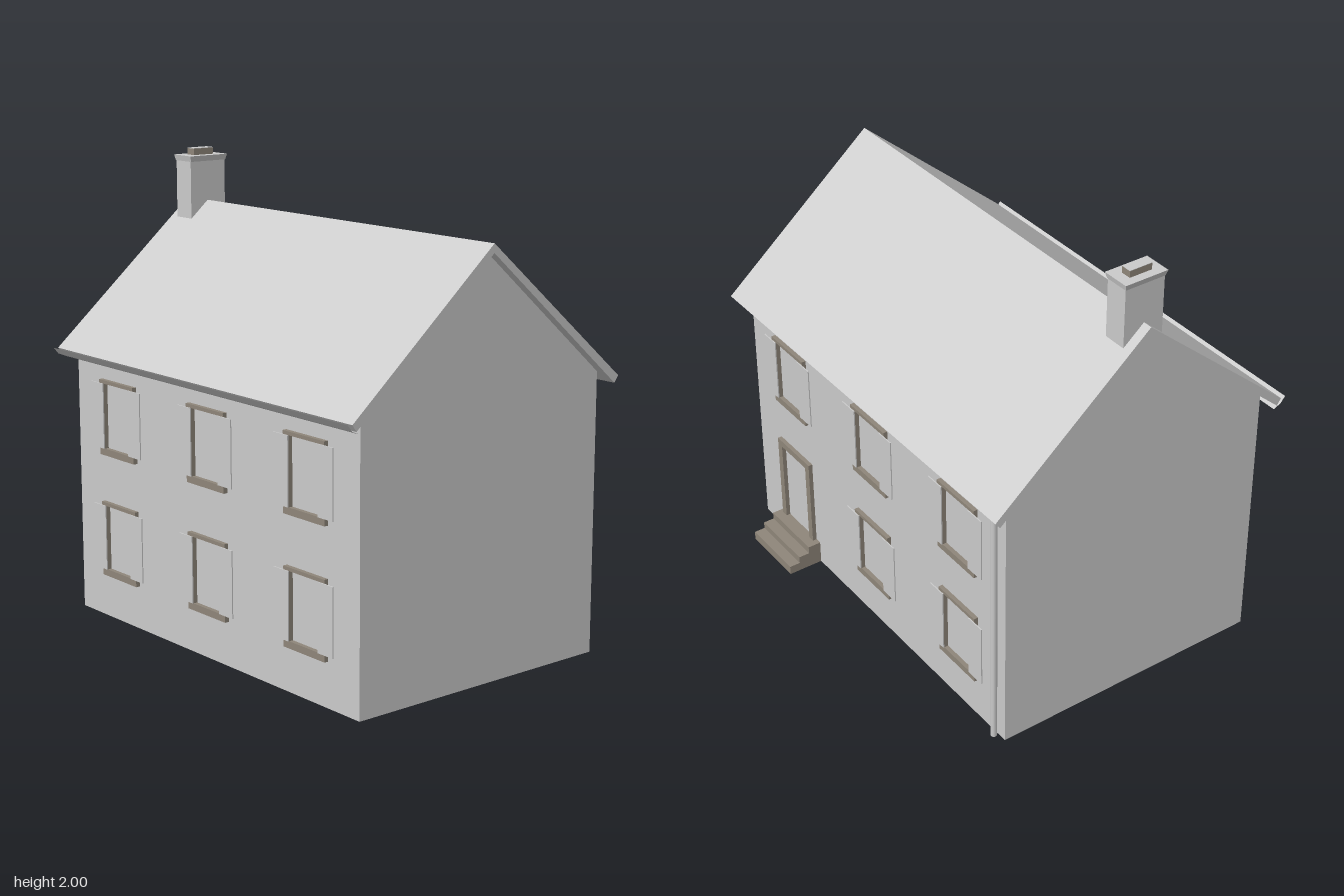
import * as THREE from 'three';

const grey = new THREE.MeshStandardMaterial({ color: 0xcccccc, side: THREE.DoubleSide });
const brown = new THREE.MeshStandardMaterial({ color: 0x8f867a, side: THREE.DoubleSide });

const FRONT = 0.66, BACK = -0.6, RIDGE = 0.03, HALF = 0.94, EAVE = 1.19;

function add(parent, name, geometry, material = grey) {
  const mesh = new THREE.Mesh(geometry, material);
  mesh.name = name;
  parent.add(mesh);
  return mesh;
}

function box(x0, x1, y0, y1, z0, z1) {
  return new THREE.BoxGeometry(x1 - x0, y1 - y0, z1 - z0)
    .translate((x0 + x1) / 2, (y0 + y1) / 2, (z0 + z1) / 2);
}

const shapeOf = (pts) => new THREE.Shape(pts.map(([a, b]) => new THREE.Vector2(a, b)));

// Solid with a [z, y] profile, running from x0 to x1
function prism(profile, x0, x1) {
  return new THREE.ExtrudeGeometry(shapeOf(profile), { depth: x1 - x0, bevelEnabled: false })
    .rotateY(-Math.PI / 2).translate(x1, 0, 0);
}

// Flat panel with a [z, y] outline at the given x
function panel(profile, x) {
  return new THREE.ShapeGeometry(shapeOf(profile)).rotateY(-Math.PI / 2).translate(x, 0, 0);
}

// Open folded sheet with a [z, y] profile, running from x0 to x1
function sheet(profile, x0, x1) {
  const pos = [];
  for (let i = 0; i + 1 < profile.length; i++) {
    const [pz, py] = profile[i], [qz, qy] = profile[i + 1];
    pos.push(x0, py, pz, x1, py, pz, x1, qy, qz, x0, py, pz, x1, qy, qz, x0, qy, qz);
  }
  const g = new THREE.BufferGeometry();
  g.setAttribute('position', new THREE.Float32BufferAttribute(pos, 3));
  g.computeVertexNormals();
  return g;
}

// Rectangular surround that passes through the wall
function frame(w, y0, y1, iw, iy0, iy1) {
  const shape = shapeOf([[-w, y0], [w, y0], [w, y1], [-w, y1]]);
  shape.holes.push(shapeOf([[-iw, iy0], [-iw, iy1], [iw, iy1], [iw, iy0]]));
  return new THREE.ExtrudeGeometry(shape, { depth: 0.024, bevelEnabled: false }).translate(0, 0, -0.005);
}

function makeWindow(x, y) {
  const g = new THREE.Group();
  g.name = 'window';
  add(g, 'windowFrame', frame(0.125, 0, 0.33, 0.09, 0.03, 0.315), brown);
  for (const s of [-1, 1]) {
    add(g, 'shutter', box(-0.045, 0.045, 0.03, 0.315, 0.019, 0.024)).position.x = s * 0.135;
  }
  g.position.set(x, y, 0);
  return g;
}

function makeDoor(x) {
  const g = new THREE.Group();
  g.name = 'door';
  add(g, 'doorFrame', frame(0.13, 0.08, 0.52, 0.098, 0.1, 0.49), brown);
  g.position.x = x;
  return g;
}

export function createModel() {
  const house = new THREE.Group();
  house.name = 'house';

  // Walls, open underneath
  add(house, 'frontWall', sheet([[FRONT, 0], [FRONT, EAVE]], -HALF, HALF));
  add(house, 'backWall', sheet([[BACK, EAVE], [BACK, 0]], -HALF, HALF));
  const gable = [[BACK, 0], [FRONT, 0], [FRONT, EAVE], [RIDGE, 1.735], [BACK, EAVE]];
  for (const s of [-1, 1]) add(house, 'gableWall', panel(gable, s * HALF));

  // Windows and back door
  const front = new THREE.Group();
  front.name = 'frontOpenings';
  front.position.z = FRONT;
  const back = new THREE.Group();
  back.name = 'backOpenings';
  back.position.z = BACK;
  back.rotation.y = Math.PI;
  house.add(front, back);
  for (const x of [-0.63, 0, 0.63]) {
    for (const y of [0.19, 0.73]) {
      front.add(makeWindow(x, y));
      back.add(x < 0 && y < 0.5 ? makeDoor(x) : makeWindow(x, y));
    }
  }

  // Roof slab
  add(house, 'roof', prism([
    [0.735, 1.17], [RIDGE, 1.772], [-0.68, 1.17],
    [-0.658, 1.142], [RIDGE, 1.735], [0.715, 1.142],
  ], -0.983, 0.983));

  // Front gutter
  add(house, 'gutter', sheet([[0.7, 1.13], [0.735, 1.145], [0.757, 1.172]], -0.983, 0.983));

  // Chimney, notched over the ridge
  add(house, 'chimneyStack', prism([
    [0.12, 1.69], [0.12, 1.95], [-0.065, 1.95], [-0.065, 1.69], [RIDGE, 1.77],
  ], -0.94, -0.835));
  const crown = box(-0.95, -0.825, 1.945, 1.97, -0.073, 0.127);
  const p = crown.attributes.position;
  for (let i = 0; i < p.count; i++) {
    if (p.getY(i) < 1.95) {
      p.setX(i, p.getX(i) < -0.8875 ? -0.943 : -0.832);
      p.setZ(i, p.getZ(i) < 0 ? -0.067 : 0.121);
    }
  }
  crown.computeVertexNormals();
  add(house, 'chimneyCrown', crown);
  add(house, 'chimneyPot', box(-0.912, -0.865, 1.97, 1.998, -0.025, 0.08), brown);
  add(house, 'chimneyPotCap', box(-0.912, -0.865, 1.998, 2, -0.025, 0.08));

  // Back steps, hollow underneath
  const treads = [[BACK, 0.105], [-0.66, 0.105], [-0.66, 0.072], [-0.71, 0.072], [-0.71, 0.04], [-0.76, 0.04], [-0.76, 0]];
  add(house, 'stepTreads', sheet(treads, 0.47, 0.78), brown);
  for (const x of [0.47, 0.78]) add(house, 'stepSide', panel([...treads, [BACK, 0]], x), brown);

  // Downpipe with hopper at the back corner
  add(house, 'downpipe', new THREE.CylinderGeometry(0.014, 0.014, 1.13, 8).translate(-0.888, 0.565, -0.618));
  add(house, 'hopper', new THREE.CylinderGeometry(0.027, 0.015, 0.025, 8).translate(-0.888, 1.14, -0.62));

  return house;
}
